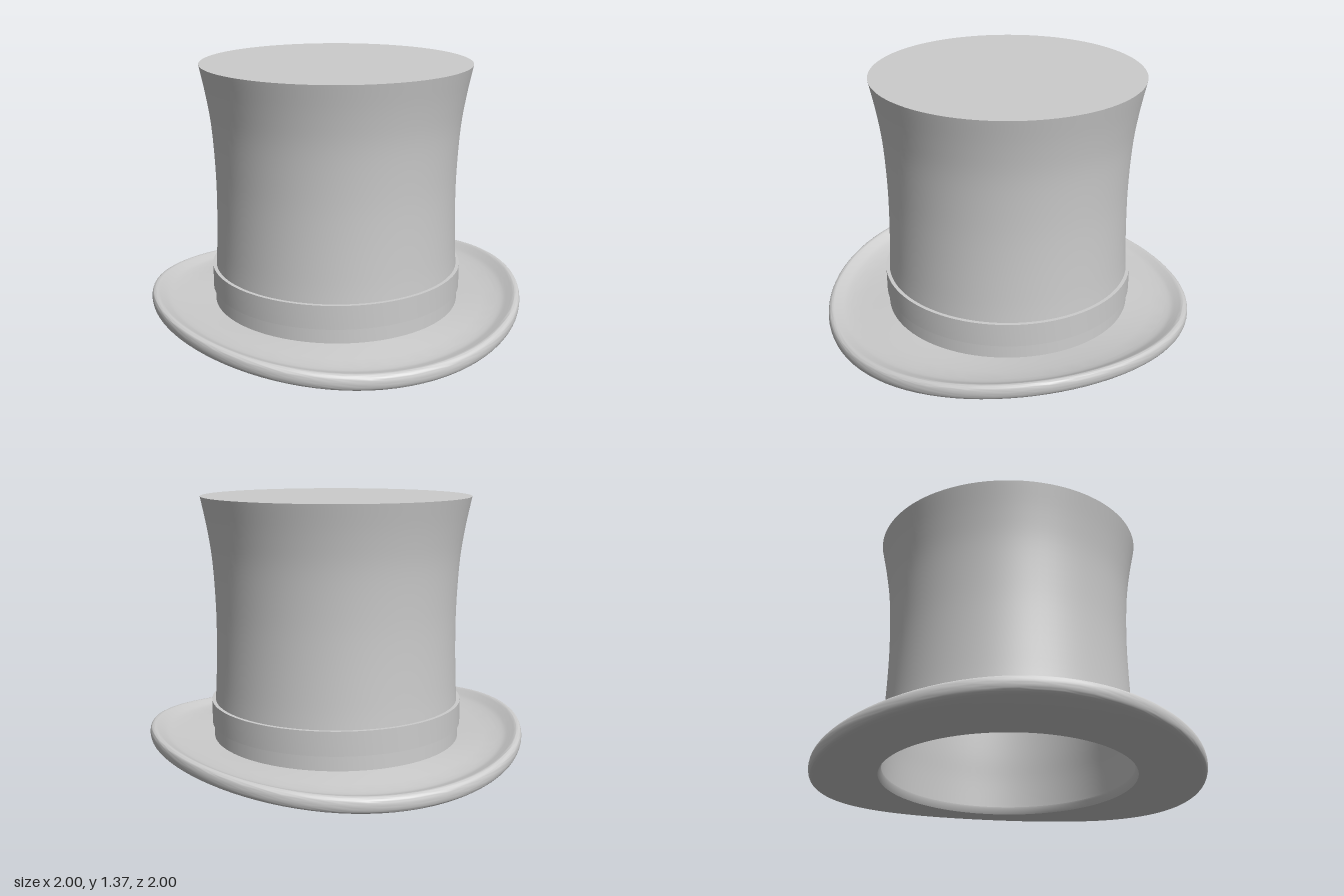
import * as THREE from 'three';
import { mergeVertices, toCreasedNormals } from 'three/addons/utils/BufferGeometryUtils.js';

const SEGMENTS = 96;
const material = new THREE.MeshStandardMaterial({ color: 0xcccccc, side: THREE.DoubleSide });

const toPoints = (pairs) => pairs.map(([r, y]) => new THREE.Vector2(r, y));

// Smooth curve through a few [radius, height] pairs
const smooth = (pairs, n) => new THREE.SplineCurve(toPoints(pairs)).getPoints(n);

// Revolved part with an optional vertical warp and crisp edges
function turned(name, points, warp) {
  let geometry = new THREE.LatheGeometry(points, SEGMENTS);
  geometry.deleteAttribute('uv');
  geometry.deleteAttribute('normal');
  geometry = mergeVertices(geometry, 1e-5);
  if (warp) {
    const p = geometry.attributes.position;
    for (let i = 0; i < p.count; i++) {
      p.setY(i, p.getY(i) + warp(p.getX(i), p.getZ(i)));
    }
  }
  const mesh = new THREE.Mesh(toCreasedNormals(geometry, 0.7), material);
  mesh.name = name;
  return mesh;
}

// Saddle curve: brim rises at the sides and dips at front and back
function saddle(x, z) {
  const r = Math.hypot(x, z);
  const t = Math.max(0, (r - 0.64) / 0.36);
  return 0.055 * Math.pow(t, 1.2) * (x * x - z * z) / (r * r);
}

export function createModel() {
  const hat = new THREE.Group();
  hat.name = 'topHat';

  // Crown: flared wall, flat top, hollow inside
  const wall = [[0.661, 0.09], [0.655, 0.24], [0.645, 0.4], [0.638, 0.62],
    [0.639, 0.82], [0.652, 1.05], [0.676, 1.22], [0.708, 1.38]];
  const outer = smooth(wall, 32);
  const inner = outer.map((p) => new THREE.Vector2(p.x - 0.016, Math.min(p.y, 1.365))).reverse();
  hat.add(turned('crown', [
    ...outer, new THREE.Vector2(0, 1.38),
    new THREE.Vector2(0, 1.365), ...inner, outer[0].clone(),
  ]));

  // Ribbon band around the foot of the crown
  hat.add(turned('band', toPoints([
    [0.645, 0.175], [0.67, 0.175], [0.67, 0.3], [0.64, 0.3], [0.645, 0.175],
  ])));

  // Brim: underside, rounded edge, raised lip, flat top, bevelled opening
  const underside = toPoints([[0.66, 0.05], [0.74, 0.05], [0.82, 0.05], [0.9, 0.051]]);
  const edge = smooth([[0.94, 0.052], [0.975, 0.056], [0.993, 0.068], [1, 0.095],
    [0.996, 0.122], [0.985, 0.133], [0.97, 0.135], [0.945, 0.124],
    [0.91, 0.109], [0.87, 0.102]], 36);
  const top = toPoints([[0.8, 0.1], [0.72, 0.1], [0.645, 0.1], [0.645, 0.08], [0.66, 0.05]]);
  hat.add(turned('brim', [...underside, ...edge, ...top], saddle));

  return hat;
}
